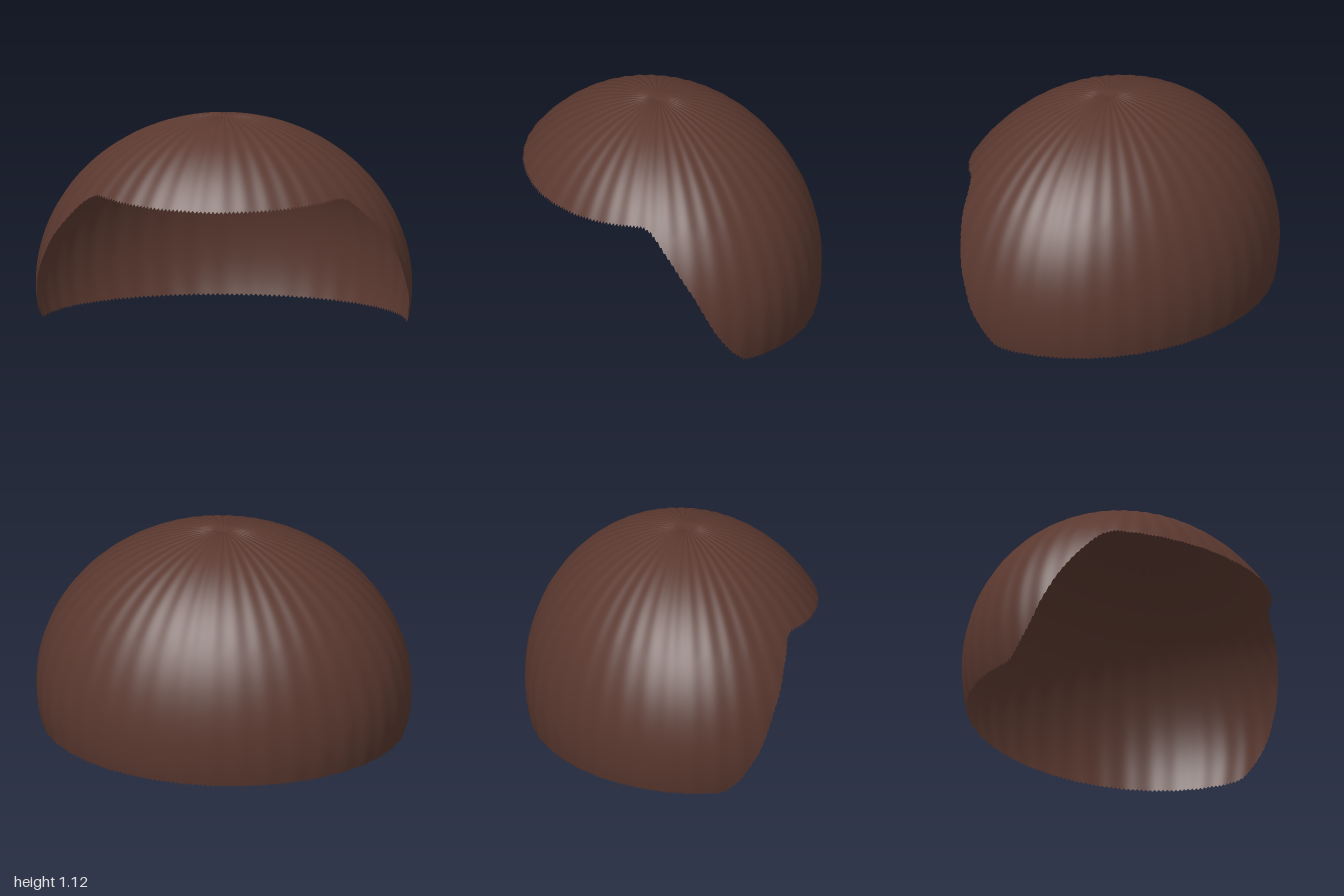
import * as THREE from 'three';

// Ellipsoid that the hair cap follows
const RADIUS = new THREE.Vector3(1, 0.91, 0.84);
const CENTRE = new THREE.Vector3(0, 0.22, 0.07);
const COLUMNS = 480, ROWS = 48, STRANDS = 40;

// Rim height by angle from the front: fringe, temple, sideburn, nape
const RIM = [
  [0, 0.72], [0.4, 0.728], [0.7, 0.742], [0.88, 0.753], [0.942, 0.754],
  [1.006, 0.735], [1.062, 0.69], [1.152, 0.6], [1.286, 0.43], [1.415, 0.22],
  [1.48, 0.14], [1.535, 0.08], [1.62, 0.02], [1.67, 0.006], [Math.PI, 0.006],
];

function rimHeight(angle) {
  const a = Math.min(Math.abs(angle), Math.PI);
  const i = Math.max(1, RIM.findIndex(([p]) => p >= a));
  const [a0, y0] = RIM[i - 1], [a1, y1] = RIM[i];
  return THREE.MathUtils.lerp(y0, y1, (a - a0) / (a1 - a0));
}

// Point on the cap: combed ripples along the strands and a dimple at the crown
function capPoint(angle, lift) {
  const r = Math.cos(lift);
  const ripple = 1 + 0.002 * Math.sin(STRANDS * angle) * THREE.MathUtils.smoothstep(r, 0.02, 0.12);
  const dimple = 0.014 * Math.exp(-((r / 0.05) ** 2));
  return [
    CENTRE.x + RADIUS.x * r * Math.sin(angle) * ripple,
    CENTRE.y + RADIUS.y * Math.sin(lift) * (lift > 0.6 ? ripple : 1) - dimple,
    CENTRE.z + RADIUS.z * r * Math.cos(angle) * ripple,
  ];
}

function capGeometry() {
  const positions = [], index = [];
  for (let j = 0; j <= ROWS; j++) {
    for (let i = 0; i < COLUMNS; i++) {
      const angle = -Math.PI + (i / COLUMNS) * Math.PI * 2;
      // Fine teeth along the cut edge
      const tooth = j === 0 && i % 2 ? 0.009 : -0.003;
      const low = Math.asin((rimHeight(angle) + tooth - CENTRE.y) / RADIUS.y);
      positions.push(...capPoint(angle, THREE.MathUtils.lerp(low, Math.PI / 2 - 0.004, j / ROWS)));
    }
  }
  for (let j = 0; j < ROWS; j++) {
    for (let i = 0; i < COLUMNS; i++) {
      const a = j * COLUMNS + i, b = j * COLUMNS + ((i + 1) % COLUMNS);
      index.push(a, b, b + COLUMNS, a, b + COLUMNS, a + COLUMNS);
    }
  }
  // Close the crown
  const pole = positions.length / 3, top = ROWS * COLUMNS;
  positions.push(...capPoint(0, Math.PI / 2));
  for (let i = 0; i < COLUMNS; i++) index.push(top + i, top + ((i + 1) % COLUMNS), pole);

  const geometry = new THREE.BufferGeometry();
  geometry.setAttribute('position', new THREE.Float32BufferAttribute(positions, 3));
  geometry.setIndex(index);
  geometry.computeVertexNormals();
  return geometry;
}

export function createModel() {
  const group = new THREE.Group();
  group.name = 'hair';
  const brown = new THREE.MeshStandardMaterial({ color: 0x5a382f, side: THREE.DoubleSide });
  brown.name = 'dark brown';
  const cap = new THREE.Mesh(capGeometry(), brown);
  cap.name = 'hairCap';
  group.add(cap);
  return group;
}
